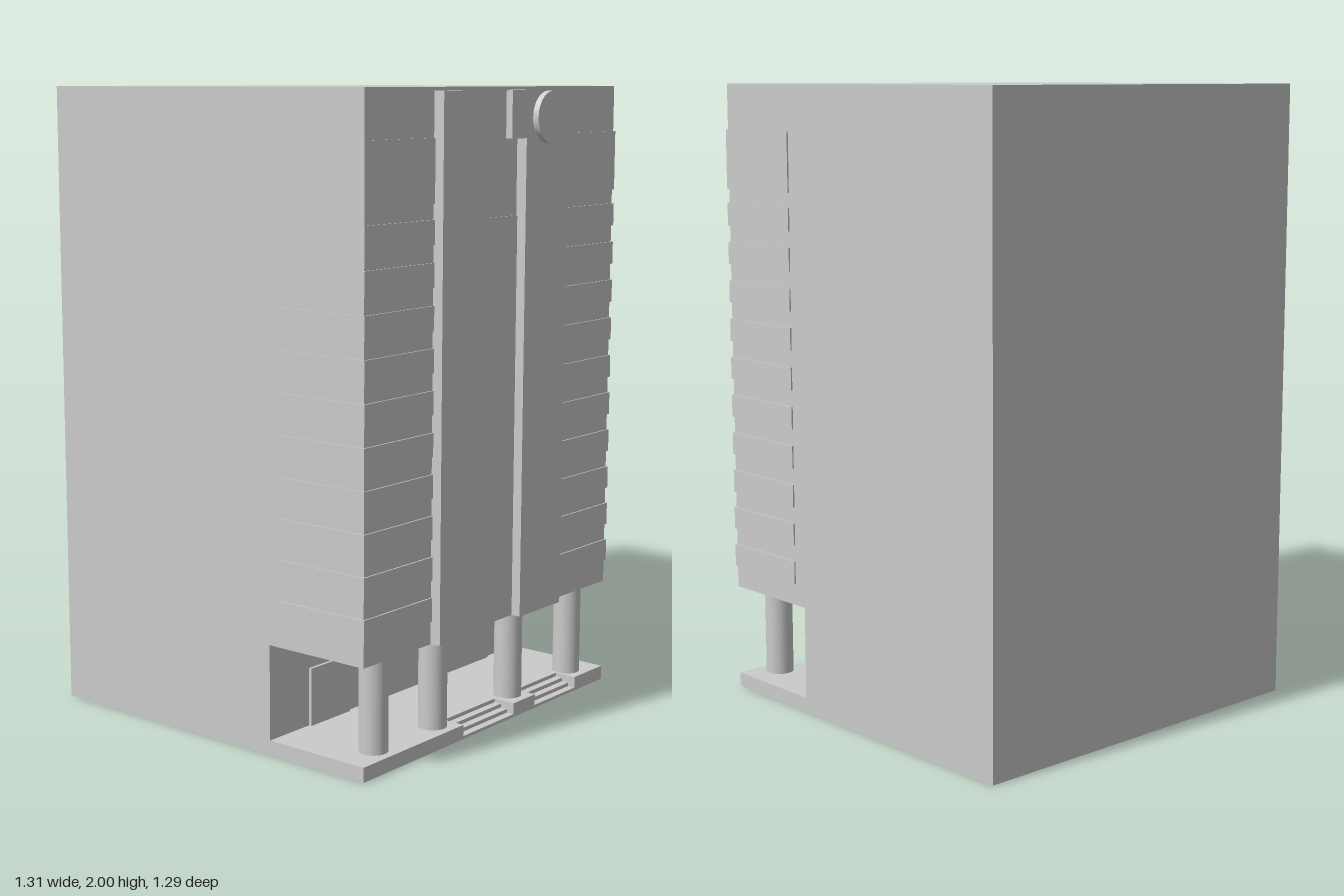
import * as THREE from 'three';

const grey = new THREE.MeshStandardMaterial({ color: 0xcccccc });

export function createModel() {
  const model = new THREE.Group();
  model.name = 'towerBlock';

  function add(name, geometry) {
    const mesh = new THREE.Mesh(geometry, grey);
    mesh.name = name;
    model.add(mesh);
    return mesh;
  }

  // Box given by its minimum and maximum on each axis
  function box(name, x0, x1, y0, y1, z0, z1) {
    const mesh = add(name, new THREE.BoxGeometry(x1 - x0, y1 - y0, z1 - z0));
    mesh.position.set((x0 + x1) / 2, (y0 + y1) / 2, (z0 + z1) / 2);
    return mesh;
  }

  function extrude(points, depth) {
    const shape = new THREE.Shape(points.map(([x, y]) => new THREE.Vector2(x, y)));
    return new THREE.ExtrudeGeometry(shape, { depth, bevelEnabled: false });
  }

  // Main block, cut back at the foot for the porch
  const front = 0.6, back = -0.655, half = 0.64, porchX = 0.235, porchTop = 0.345;
  const body = extrude([
    [back, 0], [porchX, 0], [porchX, porchTop], [front, porchTop], [front, 2], [back, 2],
  ], half * 2);
  body.translate(0, 0, -half);
  add('body', body);

  // Porch floor in layers, each notched deeper so two stairs are cut into it
  const stairs = [[-0.475, -0.24], [-0.12, 0.15]];
  const levels = [0, 0.01, 0.022, 0.034, 0.046];
  for (let i = 0; i < 4; i++) {
    const inner = front - i * 0.025;
    const plan = [[porchX, half], [porchX, -half], [front, -half]];
    if (i > 0) {
      for (const [a, b] of stairs) plan.push([front, a], [inner, a], [inner, b], [front, b]);
    }
    plan.push([front, half]);
    const layer = extrude(plan, levels[i + 1] - levels[i]);
    // Plan y becomes world z
    layer.rotateX(Math.PI / 2);
    layer.translate(0, levels[i + 1], 0);
    add('porchFloor' + i, layer);
  }

  // Porch columns
  for (const z of [0.508, 0.218, -0.184, -0.527]) {
    const height = porchTop - 0.045;
    add('column', new THREE.CylinderGeometry(0.045, 0.045, height, 32))
      .position.set(0.53, 0.045 + height / 2, z);
  }

  // Doors on the porch wall
  for (const [a, b] of [[0.275, 0.46], [-0.095, 0.135], [-0.47, -0.24]]) {
    box('door', porchX - 0.01, porchX + 0.01, 0.046, 0.23, a, b);
  }

  // Balcony bands and a taller top panel wrapping both front corners
  for (const side of [-1, 1]) {
    const corner = (name, y0, y1) => {
      const z = [side * 0.3, side * 0.645].sort((a, b) => a - b);
      box(name, 0.28, 0.605, y0, y1, z[0], z[1]);
    };
    corner('topPanel', 1.665, 1.855);
    for (let i = 0; i < 10; i++) {
      const top = 1.62 - i * 0.1256;
      corner('balconyBand', top - 0.073, top);
    }
  }

  // Tall facade slabs, hooked towards each other at the top
  for (const [outer, mid, inner] of [[0.323, 0.095, 0.014], [-0.32, -0.095, -0.018]]) {
    const slab = extrude([
      [outer, porchTop], [mid, porchTop], [mid, 1.845], [inner, 1.845], [inner, 1.99], [outer, 1.99],
    ], 0.045);
    // Profile x becomes world z, thickness runs along x
    slab.rotateY(-Math.PI / 2);
    slab.translate(0.635, 0, 0);
    add('facadeSlab', slab);
  }

  // Shallow strip in the recess between the slabs
  box('recessStrip', 0.59, 0.604, porchTop, 1.61, -0.095, 0.095);

  // Round disc near the top of one slab
  const disc = new THREE.CylinderGeometry(0.08, 0.08, 0.03, 48);
  disc.rotateZ(Math.PI / 2);
  add('disc', disc).position.set(0.64, 1.907, -0.207);

  return model;
}
